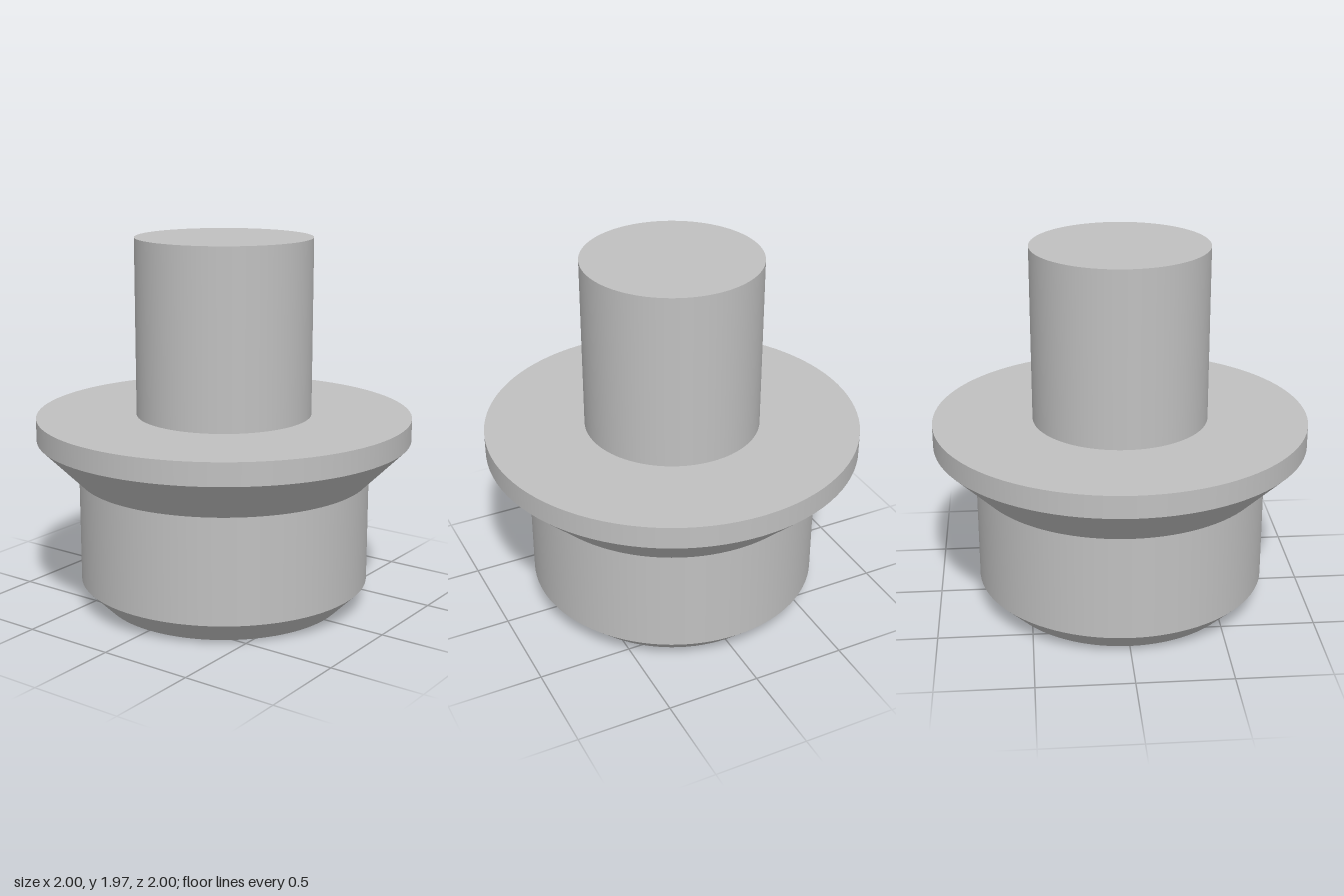
import * as THREE from 'three';

const SEGMENTS = 96;

export function createModel() {
  const group = new THREE.Group();
  group.name = 'flangedPlug';

  const metal = new THREE.MeshStandardMaterial({ color: 0xc0c0c0 });
  metal.name = 'light grey metal';

  // Each part is one revolved straight segment, so the rims between parts stay sharp
  const addBand = (name, r0, y0, r1, y1) => {
    const profile = [new THREE.Vector2(r0, y0), new THREE.Vector2(r1, y1)];
    const mesh = new THREE.Mesh(new THREE.LatheGeometry(profile, SEGMENTS), metal);
    mesh.name = name;
    group.add(mesh);
  };

  // Plug body, from the base upward
  addBand('baseFace', 0, 0, 0.655, 0);
  addBand('baseChamfer', 0.655, 0, 0.78, 0.125);
  addBand('bodyWall', 0.78, 0.125, 0.78, 0.69);

  // Flange with a sloping underside
  addBand('flangeUnderside', 0.78, 0.69, 1, 0.91);
  addBand('flangeRim', 1, 0.91, 1, 1.03);
  addBand('flangeTop', 1, 1.03, 0.468, 1.03);

  // Stem
  addBand('stemWall', 0.468, 1.03, 0.468, 1.97);
  addBand('stemTop', 0.468, 1.97, 0, 1.97);

  return group;
}
